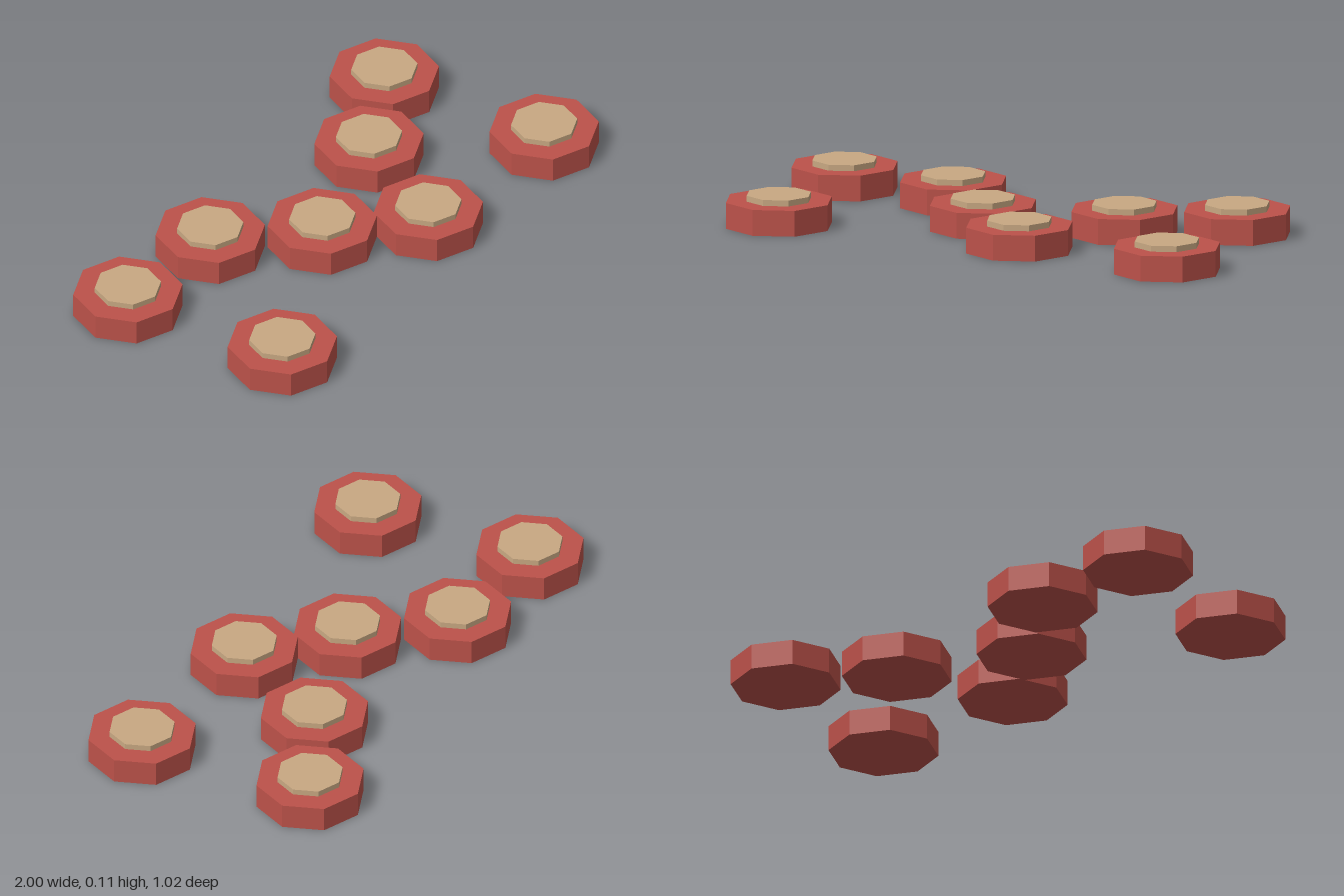
import * as THREE from 'three';

const BASE_RADIUS = 0.193, BASE_HEIGHT = 0.092;
const CAP_RADIUS = 0.117, CAP_TOP = 0.113;

// Stud centres on the ground: x, z
const CENTRES = [
  [-0.807, -0.306], [-0.36, -0.275], [-0.088, 0.01], [0.193, 0.263],
  [0.393, -0.137], [0.74, -0.322], [-0.736, 0.307], [0.807, 0.317],
];

export function createModel() {
  const red = new THREE.MeshStandardMaterial({ color: 0xbc524a });
  red.name = 'brick red';
  const tan = new THREE.MeshStandardMaterial({ color: 0xc8a882 });
  tan.name = 'tan';
  red.flatShading = tan.flatShading = true;

  // Octagonal base and the thin octagonal cap resting on it
  const capHeight = CAP_TOP - BASE_HEIGHT;
  const baseGeometry = new THREE.CylinderGeometry(BASE_RADIUS, BASE_RADIUS, BASE_HEIGHT, 8)
    .translate(0, BASE_HEIGHT / 2, 0);
  const capGeometry = new THREE.CylinderGeometry(CAP_RADIUS, CAP_RADIUS, capHeight, 8)
    .translate(0, BASE_HEIGHT + capHeight / 2, 0);

  const model = new THREE.Group();
  model.name = 'octagonalStuds';
  CENTRES.forEach(([x, z], i) => {
    const stud = new THREE.Group();
    stud.name = `stud${i + 1}`;
    const base = new THREE.Mesh(baseGeometry, red);
    base.name = 'base';
    const cap = new THREE.Mesh(capGeometry, tan);
    cap.name = 'cap';
    stud.add(base, cap);
    stud.position.set(x, 0, z);
    model.add(stud);
  });
  return model;
}
